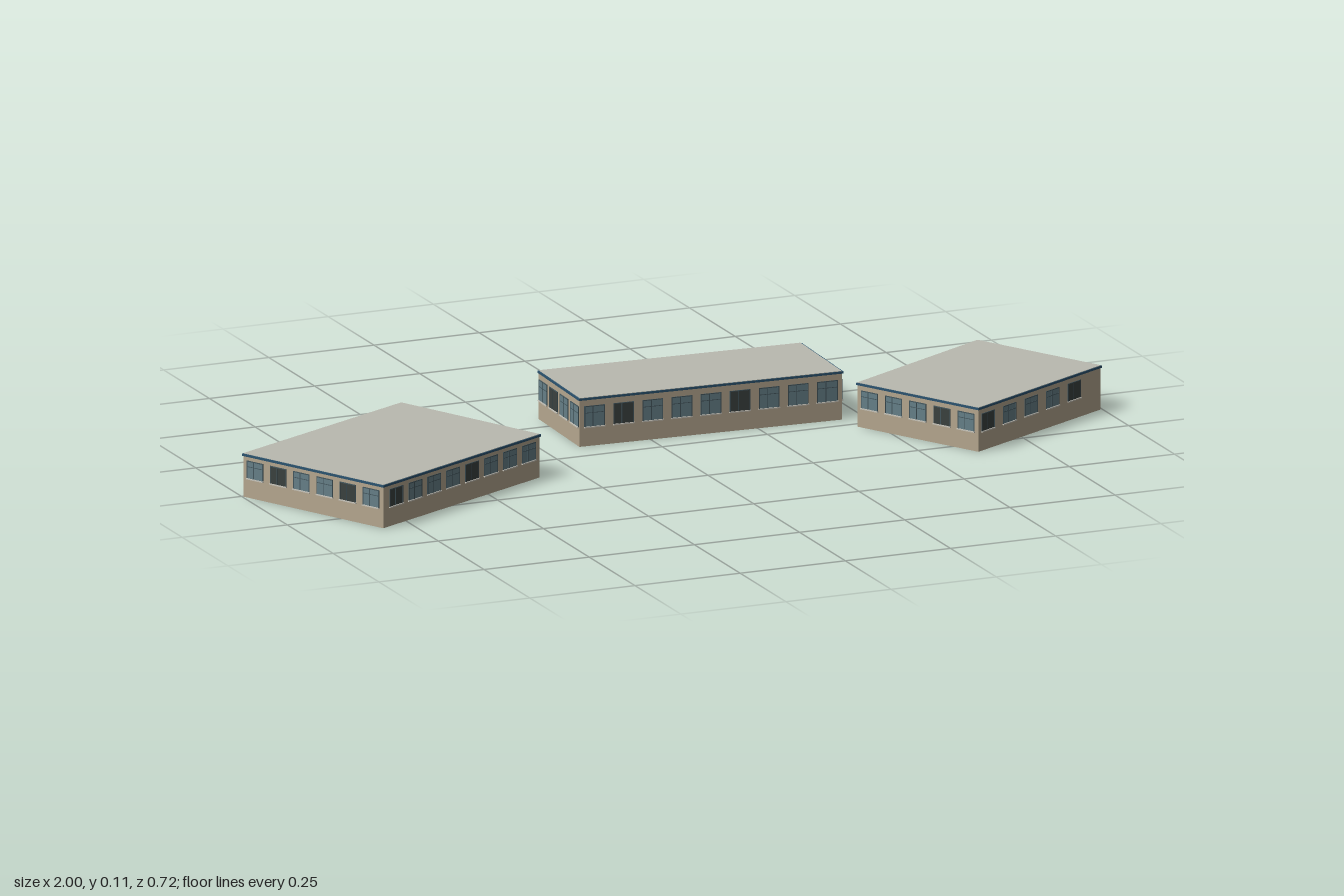
import * as THREE from 'three';

const mat = (name, color) => {
  const m = new THREE.MeshStandardMaterial({ color });
  m.name = name;
  return m;
};

export function createModel() {
  const wallMat = mat('beige wall', 0xb5a78f);
  const roofMat = mat('grey roof', 0xbabab0);
  const trimMat = mat('blue trim', 0x2c5470);
  const glassMat = mat('blue glass', 0x668088);
  const darkMat = mat('dark glass', 0x3a413f);
  const frameMat = mat('window frame', 0x44575e);
  const sillMat = mat('pale sill', 0xc9c5ba);

  const model = new THREE.Group();
  model.name = 'schoolBuildings';

  // Box given by its centre and size
  function box(parent, name, material, [x, y, z], [w, h, d]) {
    const m = new THREE.Mesh(new THREE.BoxGeometry(w, h, d), material);
    m.name = name;
    m.position.set(x, y, z);
    parent.add(m);
    return m;
  }

  // Window showing on both faces of the wall: glass, glazing bars and sill
  function addWindow(wall, x, y0, y1, w, dark) {
    const g = new THREE.Group();
    g.name = 'window';
    g.position.set(x, 0, -0.004);
    const h = y1 - y0, cy = (y0 + y1) / 2;
    box(g, 'glass', dark ? darkMat : glassMat, [0, cy, 0], [w, h, 0.006]);
    for (const s of [-1, 1])
      box(g, 'frameSide', frameMat, [s * w / 2, cy, 0], [0.002, h, 0.007]);
    box(g, 'frameTop', frameMat, [0, y1, 0], [w + 0.002, 0.002, 0.007]);
    box(g, 'mullion', frameMat, [-w * 0.08, cy, 0], [0.002, h, 0.007]);
    if (!dark) box(g, 'transom', frameMat, [0, y0 + h * 0.68, 0], [w, 0.0015, 0.007]);
    box(g, 'sill', sillMat, [0, y0 - 0.001, 0.001], [w + 0.004, 0.0025, 0.009]);
    wall.add(g);
  }

  // Evenly spaced window centres as fractions of the wall length
  const row = (n, start, end) =>
    Array.from({ length: n }, (_, i) => start + (end - start) * i / (n - 1));

  // Four walls (front, right, back, left), edge trim and a flat roof
  function addBuilding(name, spec) {
    const { corners, top, y0, y1, rows } = spec;
    const b = new THREE.Group();
    b.name = name;
    const cx = corners.reduce((s, p) => s + p[0], 0) / 4;
    const cz = corners.reduce((s, p) => s + p[1], 0) / 4;
    const walls = corners.map(([x, z], i) => {
      const [nx, nz] = corners[(i + 1) % 4];
      const len = Math.hypot(nx - x, nz - z);
      const wall = new THREE.Group();
      wall.name = ['frontSide', 'rightSide', 'backSide', 'leftSide'][i];
      wall.position.set(x, 0, z);
      wall.rotation.y = Math.atan2(z - nz, nx - x);
      const h = top - 0.004;
      box(wall, 'wall', wallMat, [len / 2, h / 2, -0.004], [len - 0.005, h, 0.004]);
      box(wall, 'roofTrim', trimMat, [len / 2, top - 0.003, -0.003], [len, 0.005, 0.006]);
      const { at, dark } = rows[i];
      at.forEach((f, k) => addWindow(wall, f * len, y0, y1, spec.width, dark.includes(k)));
      b.add(wall);
      return { wall, len };
    });
    const shape = new THREE.Shape(corners.map(([x, z]) =>
      new THREE.Vector2(cx + (x - cx) * 0.99, -(cz + (z - cz) * 0.99))));
    const geo = new THREE.ExtrudeGeometry(shape, { depth: 0.003, bevelEnabled: false });
    geo.rotateX(-Math.PI / 2);
    const roof = new THREE.Mesh(geo, roofMat);
    roof.name = 'roof';
    roof.position.y = top - 0.0025;
    b.add(roof);
    model.add(b);
    return walls;
  }

  addBuilding('rightHall', {
    corners: [[-0.82, 0.361], [-0.34, 0.12], [-0.517, -0.237], [-1, 0.002]],
    top: 0.098, y0: 0.044, y1: 0.083, width: 0.044,
    rows: [
      { at: row(8, 0.085, 0.925), dark: [0, 4] },
      { at: row(6, 0.09, 0.91), dark: [2] },
      { at: row(8, 0.075, 0.915), dark: [2] },
      { at: row(6, 0.09, 0.91), dark: [1, 4] },
    ],
  });

  addBuilding('leftHall', {
    corners: [[0.615, 0.315], [0.999, 0.107], [0.832, -0.19], [0.452, 0.021]],
    top: 0.1, y0: 0.044, y1: 0.083, width: 0.044,
    rows: [
      { at: row(5, 0.08, 0.78), dark: [0, 4] },
      { at: row(5, 0.105, 0.895), dark: [2] },
      { at: row(6, 0.08, 0.92), dark: [1] },
      { at: row(5, 0.105, 0.895), dark: [3] },
    ],
  });

  const centre = addBuilding('centreHall', {
    corners: [[-0.168, -0.069], [0.449, -0.042], [0.457, -0.289], [-0.16, -0.314]],
    top: 0.11, y0: 0.044, y1: 0.09, width: 0.046,
    rows: [
      { at: row(9, 0.06, 0.94), dark: [1, 5] },
      { at: row(4, 0.12, 0.88), dark: [] },
      { at: [0.06, 0.17, 0.28, 0.61, 0.74, 0.88], dark: [0, 4] },
      { at: row(4, 0.12, 0.88), dark: [1] },
    ],
  });

  // Entrance in the back of the centre hall: door, canopy and posts
  const { wall, len } = centre[2];
  const ex = len * 0.437;
  const entrance = new THREE.Group();
  entrance.name = 'entrance';
  entrance.position.x = ex;
  wall.add(entrance);
  box(entrance, 'doorFrame', sillMat, [0, 0.053, -0.004], [0.07, 0.062, 0.006]);
  for (const s of [-1, 1])
    box(entrance, 'door', darkMat, [s * 0.016, 0.053, -0.004], [0.028, 0.056, 0.008]);
  box(entrance, 'canopy', trimMat, [0, 0.089, 0.028], [0.108, 0.005, 0.062]);
  for (const x of [-0.048, 0.048])
    for (const z of [0.003, 0.052])
      box(entrance, 'canopyPost', sillMat, [x, 0.056, z], [0.005, 0.064, 0.005]);

  return model;
}
